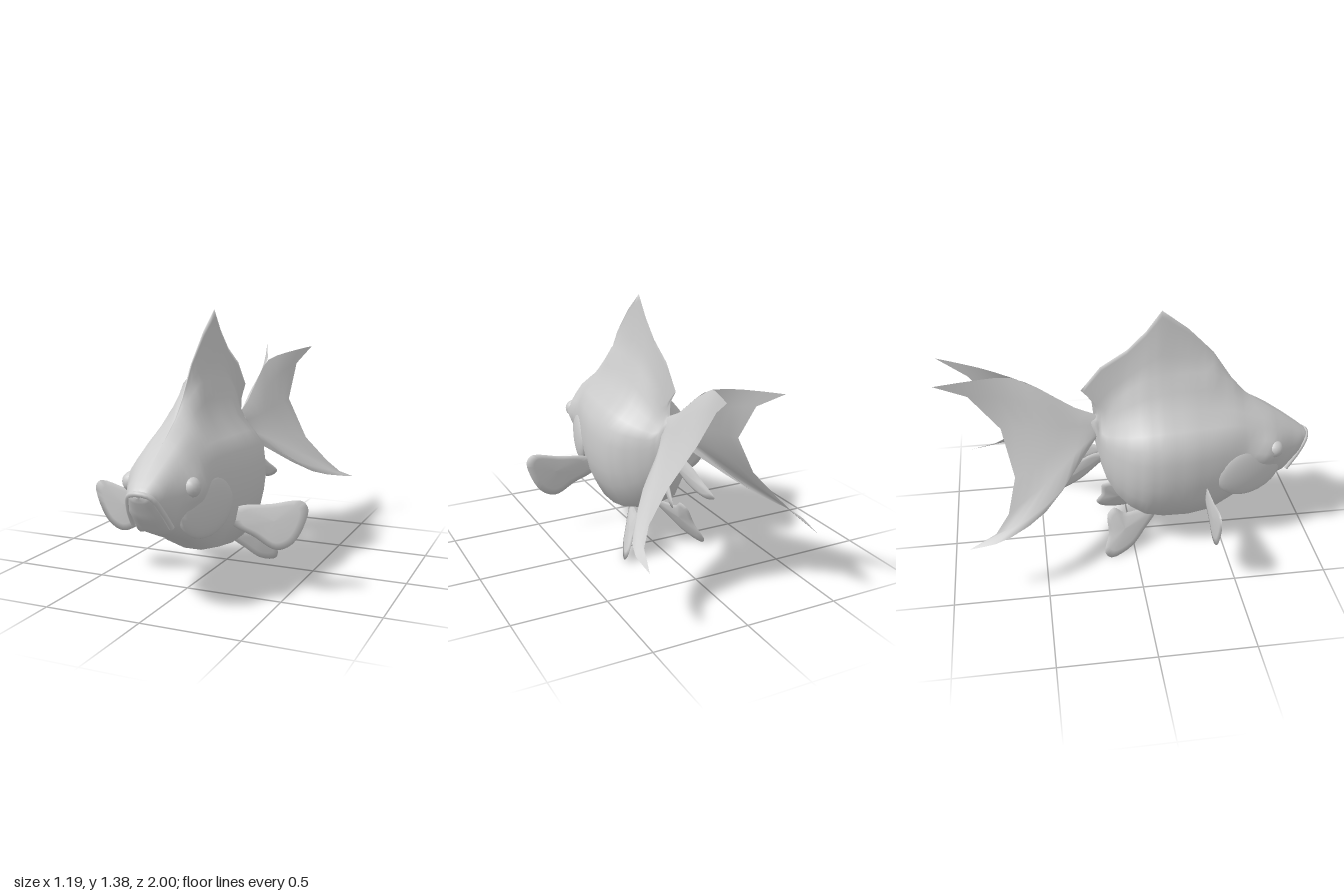
import * as THREE from 'three';

const skin = new THREE.MeshStandardMaterial({ color: 0xcccccc, side: THREE.DoubleSide });
skin.name = 'grey skin';

function part(name, geometry, parent) {
  const mesh = new THREE.Mesh(geometry, skin);
  mesh.name = name;
  parent.add(mesh);
  return mesh;
}

// Surface through rows of equal length; closed joins the end of a row to its start
function loft(rows, closed) {
  const n = rows[0].length, index = [];
  for (let i = 0; i < rows.length - 1; i++) {
    for (let j = 0; j < (closed ? n : n - 1); j++) {
      const k = (j + 1) % n;
      const a = i * n + j, b = i * n + k, c = a + n, d = b + n;
      index.push(a, c, d, a, d, b);
    }
  }
  const g = new THREE.BufferGeometry();
  g.setAttribute('position', new THREE.Float32BufferAttribute(rows.flat(2), 3));
  g.setIndex(index);
  g.computeVertexNormals();
  return g;
}

// Half cross-section of the trunk: height fraction, width fraction
const trunk = [[0, 0], [0, 0.2], [0.035, 0.62], [0.19, 0.88], [0.3, 0.96], [0.4, 1], [0.5, 0.985], [0.61, 0.94],
  [0.69, 0.74], [0.78, 0.48], [0.89, 0.31], [1, 0.19], [1.3, 0.065], [1.9, 0.02], [2, 0]];
const BACK = 11;

// One ring; fractions above 1 climb from the back into the dorsal fin
function ring([z, zTop, bottom, back, top, w, k]) {
  const half = trunk.map(([f, g], i) => {
    const t = Math.min(i, BACK) * Math.PI / BACK;
    const hf = i > BACK ? f : (1 - Math.cos(t)) / 2;
    const hg = i >= BACK ? 0 : Math.pow(Math.sin(t), 0.75);
    const ff = THREE.MathUtils.lerp(hf, f, k), up = Math.max(0, ff - 1);
    const y = bottom + (back - bottom) * Math.min(ff, 1) + (top - back) * up;
    // Soft swelling of the brow around the eye
    const brow = hg * 0.045 * Math.exp(-(((y - 0.59) / 0.07) ** 2) - ((z - 0.735) / 0.08) ** 2);
    return [w * THREE.MathUtils.lerp(hg, g, k) + brow, y, z + (zTop - z) * up];
  });
  const other = half.slice(1, -1).reverse().map(([x, y, zz]) => [-x, y, zz]);
  return [...half, ...other];
}

// Stations: z, fin z, belly, back, fin top, half width, head-to-trunk blend
const stations = [
  [0.99, 0.99, 0.575, 0.595, 0.595, 0.01, 0],
  [0.98, 0.98, 0.55, 0.61, 0.61, 0.055, 0],
  [0.93, 0.93, 0.46, 0.65, 0.65, 0.095, 0],
  [0.85, 0.85, 0.38, 0.71, 0.71, 0.13, 0],
  [0.75, 0.75, 0.335, 0.78, 0.78, 0.16, 0],
  [0.62, 0.62, 0.28, 0.872, 0.876, 0.19, 0.35],
  [0.54, 0.54, 0.24, 0.955, 0.97, 0.21, 0.7],
  [0.435, 0.435, 0.187, 1.03, 1.13, 0.235, 1],
  [0.3, 0.3, 0.172, 1.04, 1.27, 0.26, 1],
  [0.16, 0.16, 0.177, 1.03, 1.38, 0.265, 1],
  [0.06, 0.08, 0.195, 1, 1.27, 0.25, 1],
  [-0.02, -0.02, 0.24, 0.95, 1.17, 0.21, 1],
  [-0.09, -0.16, 0.31, 0.89, 1.08, 0.15, 1],
  [-0.14, -0.264, 0.4, 0.83, 0.95, 0.095, 1],
  [-0.17, -0.21, 0.5, 0.8, 0.9, 0.06, 0.9],
  [-0.2, -0.2, 0.66, 0.785, 0.79, 0.04, 0.3],
  [-0.25, -0.25, 0.67, 0.8, 0.8, 0.02, 0],
  [-0.28, -0.28, 0.73, 0.75, 0.75, 0.002, 0],
];

// Fill in steps between neighbouring stations
const filled = stations.slice(1).flatMap((next, i) => [0, 1 / 3, 2 / 3].map((t) =>
  next.map((v, c) => THREE.MathUtils.lerp(stations[i][c], v, t)))).concat(stations.slice(-1));

// Leaf-shaped fin, thickest in the middle, from an outline placed in space by a rule
function fin(outline, thick, place) {
  const curve = new THREE.CatmullRomCurve3(outline.map(([u, v]) => new THREE.Vector3(u, v, 0)), true, 'centripetal');
  const rim = curve.getPoints(40).slice(0, 40);
  const mid = rim.reduce((sum, p) => sum.add(p), new THREE.Vector3()).divideScalar(rim.length);
  const rows = [0, 0.4, 0.75, 1, -0.75, -0.4, 0].map((s, i) => rim.map((p) => {
    const q = mid.clone().lerp(p, Math.abs(s));
    return place(q.x, q.y, (i < 3 ? 1 : -1) * thick * (1 - s * s));
  }));
  return loft(rows, true);
}

// Tail rays from the root to the trailing edge, upper ray first
const rays = [
  [[0, 0.785, -0.15], [0, 0.85, -0.3], [0, 0.98, -0.48], [0.003, 1.055, -0.62], [0.065, 1.09, -0.78], [0.15, 1.115, -1]],
  [[0.01, 0.765, -0.15], [0.03, 0.81, -0.3], [0.045, 0.89, -0.46], [0.06, 0.97, -0.65], [0.105, 1.02, -0.84]],
  [[0.015, 0.75, -0.15], [0.05, 0.76, -0.3], [0.08, 0.79, -0.46], [0.11, 0.82, -0.69]],
  [[0.02, 0.73, -0.16], [0.08, 0.7, -0.3], [0.15, 0.66, -0.45], [0.24, 0.6, -0.635]],
  [[0.025, 0.71, -0.16], [0.1, 0.66, -0.28], [0.22, 0.56, -0.45], [0.36, 0.46, -0.68]],
  [[0.025, 0.695, -0.17], [0.11, 0.63, -0.27], [0.25, 0.51, -0.39], [0.39, 0.42, -0.61], [0.42, 0.385, -0.75]],
  [[0.02, 0.68, -0.18], [0.1, 0.61, -0.26], [0.33, 0.43, -0.49], [0.46, 0.365, -0.72], [0.46, 0.33, -0.89]],
];

// Paired parts, modelled on the +x side
function buildSide(name, sign) {
  const side = new THREE.Group();
  side.name = name;
  side.scale.x = sign;

  const eye = part('eye', new THREE.SphereGeometry(0.05, 14, 10), side);
  eye.position.set(0.152, 0.595, 0.765);

  const gill = part('gillCover', new THREE.SphereGeometry(1, 20, 14), side);
  gill.scale.set(0.042, 0.155, 0.195);
  gill.rotation.y = -0.28;
  gill.position.set(0.165, 0.475, 0.63);

  // Fan-shaped side fin, square to the body
  part('pectoralFin', fin([[0.19, 0.33], [0.31, 0.275], [0.43, 0.22], [0.52, 0.265], [0.59, 0.41],
    [0.59, 0.455], [0.56, 0.482], [0.4, 0.45], [0.21, 0.41]], 0.008, (u, v, w) => [u, v, 0.385 + w]), side);

  // Outlines below are drawn as z, y
  part('pelvicFin', fin([[0.14, 0.19], [0.06, 0.1], [-0.02, 0.03], [-0.14, 0.002], [-0.175, 0.04],
    [-0.148, 0.13], [-0.148, 0.23], [-0.11, 0.255], [-0.05, 0.215], [0.03, 0.21]], 0.016,
  (u, v, w) => [0.11 + 0.45 * (0.2 - v) - 0.3 * u + w, v, u]), side);
  part('analFin', fin([[-0.13, 0.56], [-0.2, 0.58], [-0.3, 0.55], [-0.38, 0.49], [-0.47, 0.42],
    [-0.41, 0.4], [-0.3, 0.43], [-0.22, 0.48]], 0.012,
  (u, v, w) => [0.025 - 0.28 * (u + 0.13) + w, v, u]), side);

  const rows = rays.map((ray) => new THREE.CatmullRomCurve3(ray.map((p) => new THREE.Vector3(...p)))
    .getPoints(10).map((p) => p.toArray()));
  part('tailLobe', loft(rows, false), side);
  return side;
}

export function createModel() {
  const fish = new THREE.Group();
  fish.name = 'fish';
  part('bodyAndDorsalFin', loft(filled.map(ring), true), fish);

  // Down-turned upper lip
  const lip = [[-0.1, 0.42, 0.86], [-0.085, 0.51, 0.925], [-0.055, 0.582, 0.972], [0, 0.597, 0.985],
    [0.055, 0.582, 0.972], [0.085, 0.51, 0.925], [0.1, 0.42, 0.86]].map((p) => new THREE.Vector3(...p));
  part('lip', new THREE.TubeGeometry(new THREE.CatmullRomCurve3(lip), 24, 0.014, 7), fish);

  fish.add(buildSide('leftSide', 1), buildSide('rightSide', -1));
  return fish;
}
